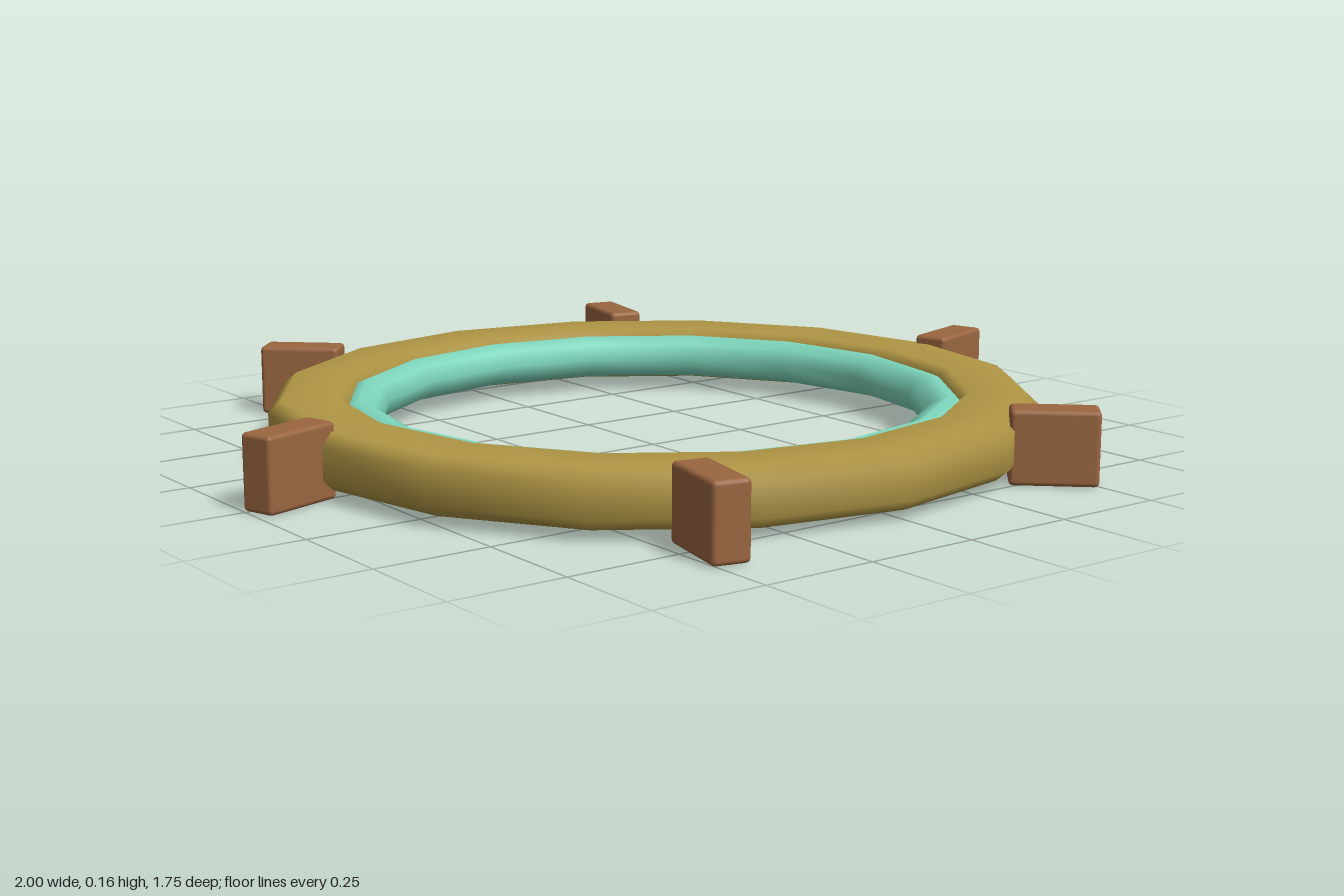
import * as THREE from 'three';
import { RoundedBoxGeometry } from 'three/addons/geometries/RoundedBoxGeometry.js';

const SIDES = 16;
const MID_Y = 0.08;

function material(name, color) {
  const m = new THREE.MeshStandardMaterial({ color });
  m.name = name;
  return m;
}

// Sweeps a closed [radius, y] section around the vertical axis
function ring(name, section, mat) {
  const points = [...section, section[0]].map(([r, y]) => new THREE.Vector2(r, y));
  const mesh = new THREE.Mesh(new THREE.LatheGeometry(points, SIDES), mat);
  mesh.name = name;
  mesh.position.y = MID_Y;
  return mesh;
}

export function createModel() {
  const model = new THREE.Group();
  model.name = 'spikedRing';
  const gold = material('gold', 0xb09645);
  const teal = material('teal', 0x7fd8be);
  const brown = material('brown', 0x9a6640);

  // Main band: a flat bar with chamfered edges, seam on the inner wall
  model.add(ring('outerRing', [
    [0.67, 0], [0.67, -0.038], [0.692, -0.06], [0.815, -0.06], [0.843, -0.036],
    [0.843, 0.036], [0.815, 0.06], [0.692, 0.06], [0.67, 0.038],
  ], gold));

  // Rounded lining set into the inside of the band
  const lining = [];
  for (let i = 0; i < 8; i++) {
    const a = (i / 8) * Math.PI * 2;
    lining.push([0.65 + 0.05 * Math.cos(a), 0.05 * Math.sin(a)]);
  }
  model.add(ring('innerRing', lining, teal));

  // Six slanted blocks around the rim
  const block = new RoundedBoxGeometry(0.185, 0.16, 0.08, 2, 0.01);
  for (let i = 0; i < 6; i++) {
    const a = (i / 6) * Math.PI * 2;
    const mesh = new THREE.Mesh(block, brown);
    mesh.name = `rimBlock${i + 1}`;
    mesh.position.set(0.9 * Math.cos(a), MID_Y, -0.9 * Math.sin(a));
    mesh.rotation.y = a + 0.3;
    model.add(mesh);
  }
  return model;
}
